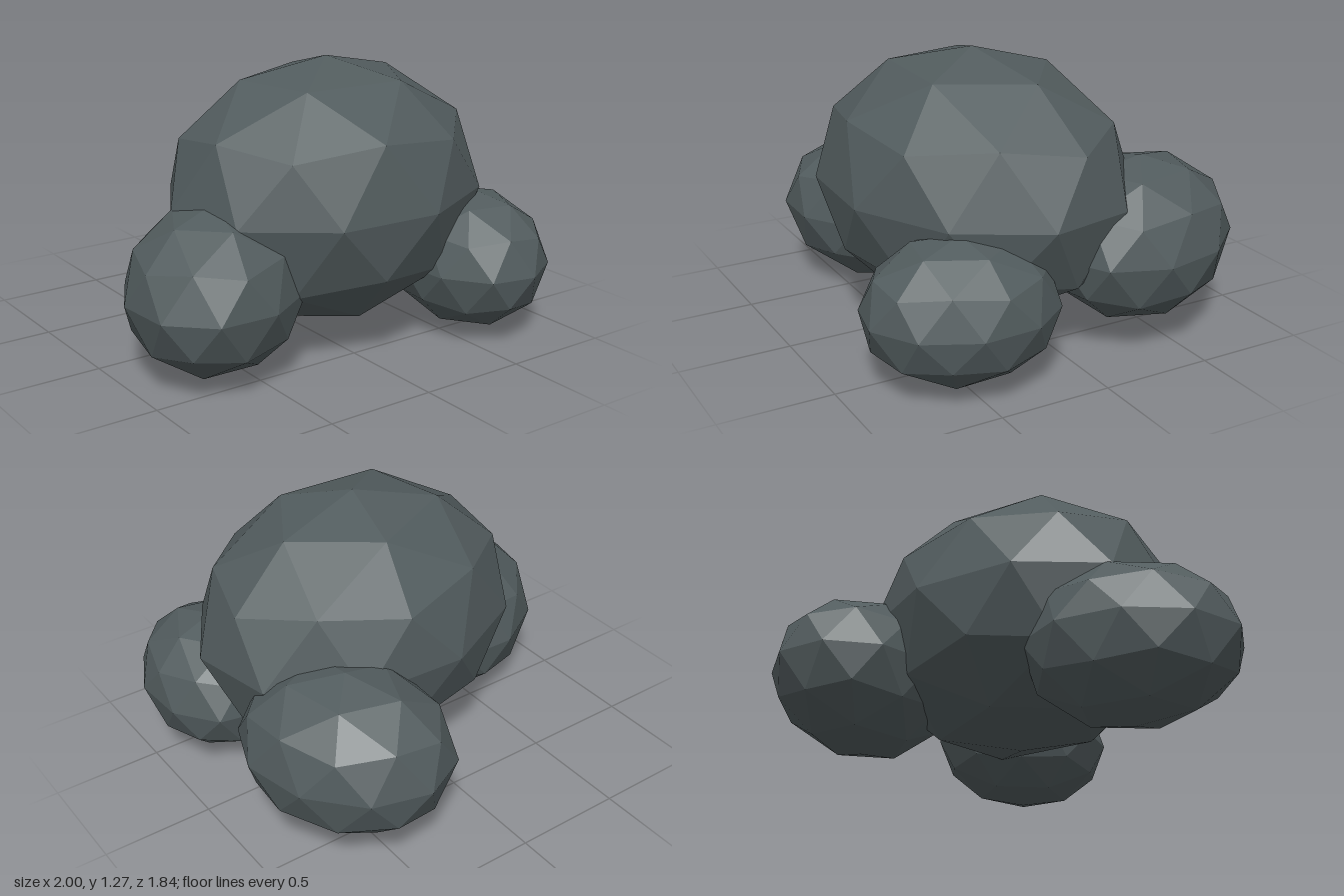
import * as THREE from 'three';

export function createModel() {
  const group = new THREE.Group();
  group.name = 'boulderCluster';

  const stone = new THREE.MeshStandardMaterial({ color: 0x525c5e });
  stone.name = 'slate stone';
  stone.flatShading = true;

  // Low-poly ball turned so that one five-sided corner points straight up
  const ball = new THREE.IcosahedronGeometry(1, 1);
  ball.rotateZ(-Math.atan(2 / (1 + Math.sqrt(5))));

  // Each boulder: name, centre, radii, turn about y in degrees
  const boulders = [
    ['mainBoulder', [0.10, 0.67, 0.14], [0.798, 0.60, 0.644], 11.7],
    ['frontLeftBoulder', [0.655, 0.335, 0.50], [0.424, 0.318, 0.344], 78.2],
    ['frontRightBoulder', [-0.575, 0.367, 0.27], [0.490, 0.367, 0.393], 46.4],
    ['backLeftBoulder', [0.55, 0.445, -0.448], [0.490, 0.367, 0.393], 116.8],
  ];

  for (const [name, centre, radii, turn] of boulders) {
    const geometry = ball.clone().scale(...radii);
    geometry.computeVertexNormals(); // separate faces, so normals stay flat
    const mesh = new THREE.Mesh(geometry, stone);
    mesh.name = name;
    mesh.position.set(...centre);
    mesh.rotation.y = THREE.MathUtils.degToRad(turn);
    group.add(mesh);
  }
  return group;
}
